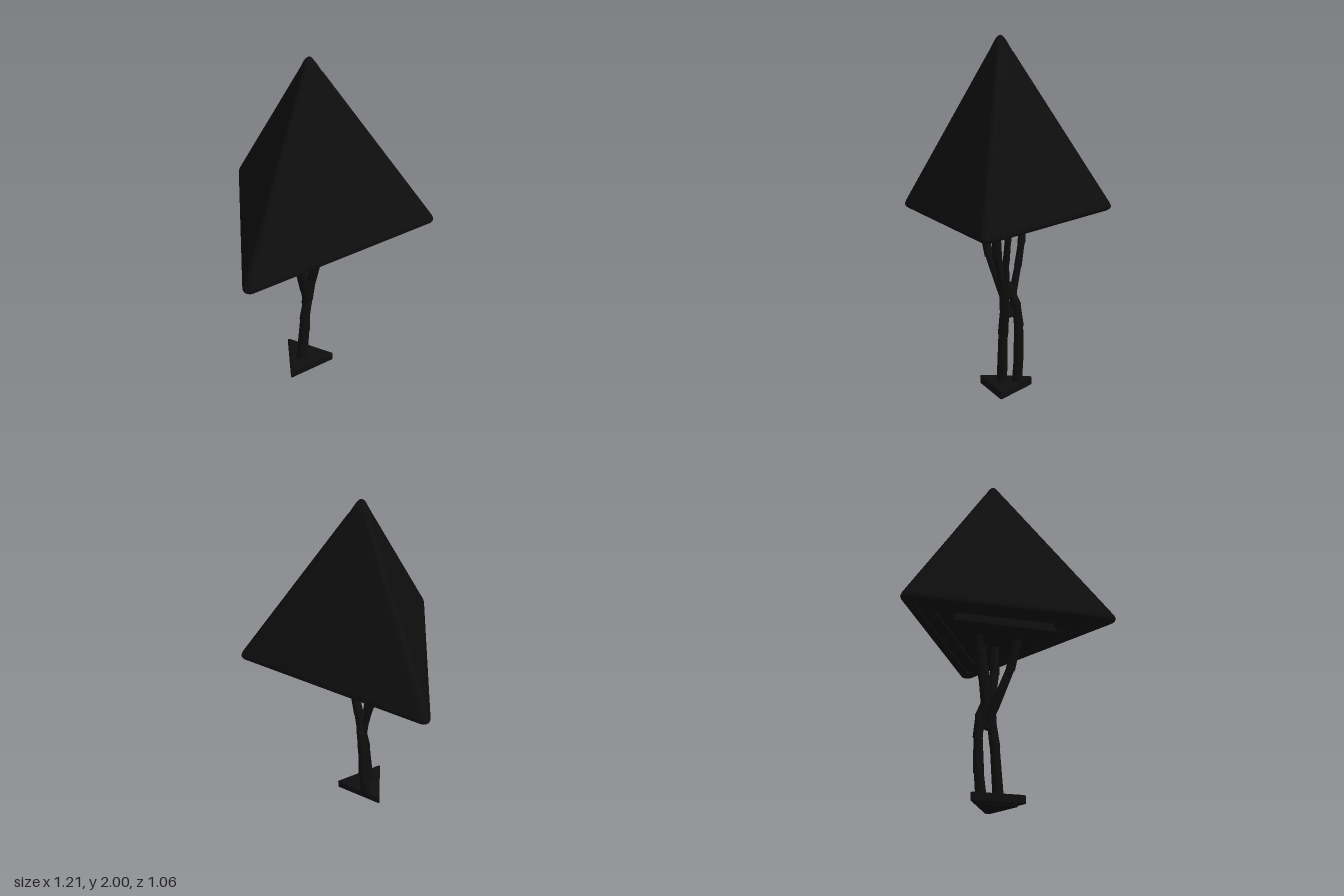
import * as THREE from 'three';
import { toCreasedNormals } from 'three/addons/utils/BufferGeometryUtils.js';

const black = new THREE.MeshStandardMaterial({ color: 0x0e0e0e });
black.name = 'black';

// Closed triangular solid: each ring is [inradius, y, corner radius], listed from bottom to top
function triangleLoft(name, rings, z) {
  const steps = 4, n = 3 * (steps + 1);
  const loops = rings.map(([r, y, corner]) => {
    const c = Math.min(corner, r), loop = [];
    for (let k = 0; k < 3; k++) {
      const v = (60 + 120 * k) * Math.PI / 180, d = 2 * (r - c);
      for (let s = 0; s <= steps; s++) {
        const a = v + (s / steps - 0.5) * Math.PI * 2 / 3;
        loop.push([d * Math.sin(v) + c * Math.sin(a), y, d * Math.cos(v) + c * Math.cos(a)]);
      }
    }
    return loop;
  });
  const pos = [];
  for (let i = 0; i < rings.length - 1; i++) {
    for (let j = 0; j < n; j++) {
      const k = (j + 1) % n;
      const a = loops[i][j], b = loops[i][k], c = loops[i + 1][k], d = loops[i + 1][j];
      if (rings[i][0] > 0) pos.push(...a, ...b, ...(rings[i + 1][0] > 0 ? c : d));
      if (rings[i + 1][0] > 0) pos.push(...a, ...c, ...d);
    }
  }
  const geo = new THREE.BufferGeometry();
  geo.setAttribute('position', new THREE.Float32BufferAttribute(pos, 3));
  const mesh = new THREE.Mesh(toCreasedNormals(geo, 0.7), black);
  mesh.name = name;
  mesh.position.z = z;
  return mesh;
}

// Jointed branch: overlapping tapered sticks along a path
function limb(name, points, r0, r1) {
  const group = new THREE.Group();
  group.name = name;
  const pts = points.map(p => new THREE.Vector3(...p));
  const up = new THREE.Vector3(0, 1, 0), last = pts.length - 1;
  for (let i = 0; i < last; i++) {
    const dir = pts[i + 1].clone().sub(pts[i]);
    const r = THREE.MathUtils.lerp(r0, r1, i / last);
    const stick = new THREE.Mesh(
      new THREE.CylinderGeometry(r * 0.92, r * 1.06, dir.length() + 0.02, 10), black);
    stick.name = name + 'Segment';
    stick.position.copy(pts[i]).addScaledVector(dir, 0.5);
    stick.quaternion.setFromUnitVectors(up, dir.normalize());
    group.add(stick);
  }
  return group;
}

export function createModel() {
  const model = new THREE.Group();
  model.name = 'tableLamp';

  // Foot with a narrower pad beneath
  model.add(triangleLoft('base', [
    [0, 0, 0], [0.065, 0, 0.006], [0.07, 0.014, 0.006], [0.089, 0.014, 0.006],
    [0.089, 0.056, 0.006], [0.085, 0.06, 0.006], [0, 0.06, 0],
  ], 0.15));

  // Twisting stems and branches
  model.add(
    limb('mainStem', [[-0.025, 0.05, 0.155], [-0.003, 0.35, 0.155], [0.02, 0.49, 0.155],
      [0.035, 0.62, 0.165], [0.045, 0.8, 0.21], [0.06, 1.02, 0.225]], 0.029, 0.025),
    limb('secondStem', [[0.035, 0.05, 0.087], [0.05, 0.2, 0.085], [0.055, 0.4, 0.085],
      [0.055, 0.52, 0.1], [0.03, 0.63, 0.14]], 0.029, 0.024),
    limb('leftBranch', [[0.03, 0.45, 0.13], [-0.005, 0.56, 0.15], [-0.085, 0.79, 0.205],
      [-0.115, 0.93, 0.225], [-0.115, 1.02, 0.225]], 0.025, 0.025),
    limb('backBranch', [[0.04, 0.5, 0.11], [0.02, 0.6, 0.1], [0.004, 0.73, 0.065],
      [-0.01, 0.86, 0.037], [-0.012, 1.02, 0.03]], 0.02, 0.021),
    limb('rightBranch', [[0.04, 0.57, 0.155], [0.065, 0.77, 0.165], [0.09, 0.9, 0.165],
      [0.095, 1.02, 0.165]], 0.018, 0.02));

  // Slightly tilted plate carrying the shade
  const plate = triangleLoft('supportPlate', [
    [0, 0.958, 0], [0.15, 0.958, 0.01], [0.176, 0.982, 0.01],
    [0.176, 1.0, 0.01], [0.165, 1.035, 0.01], [0, 1.035, 0],
  ], 0.165);
  plate.rotation.z = 0.025;
  model.add(plate);

  // Shade with a stepped recess underneath
  model.add(triangleLoft('shade', [
    [0, 1.03, 0], [0.24, 1.03, 0.03], [0.24, 1.015, 0.03], [0.31, 1.015, 0.03],
    [0.31, 1.002, 0.03], [0.35, 1.002, 0.03], [0.361, 1.01, 0.033], [0.365, 1.022, 0.035],
    [0.36, 1.045, 0.035], [0.045, 1.915, 0.018], [0, 1.92, 0],
  ], 0.165));

  // Rounded cap at the tip
  model.add(triangleLoft('cap', [
    [0, 1.9, 0], [0.046, 1.9, 0.024], [0.045, 1.92, 0.024], [0.028, 1.97, 0.022],
    [0.022, 1.985, 0.022], [0.012, 1.996, 0.012], [0, 2, 0],
  ], 0.165));

  return model;
}
